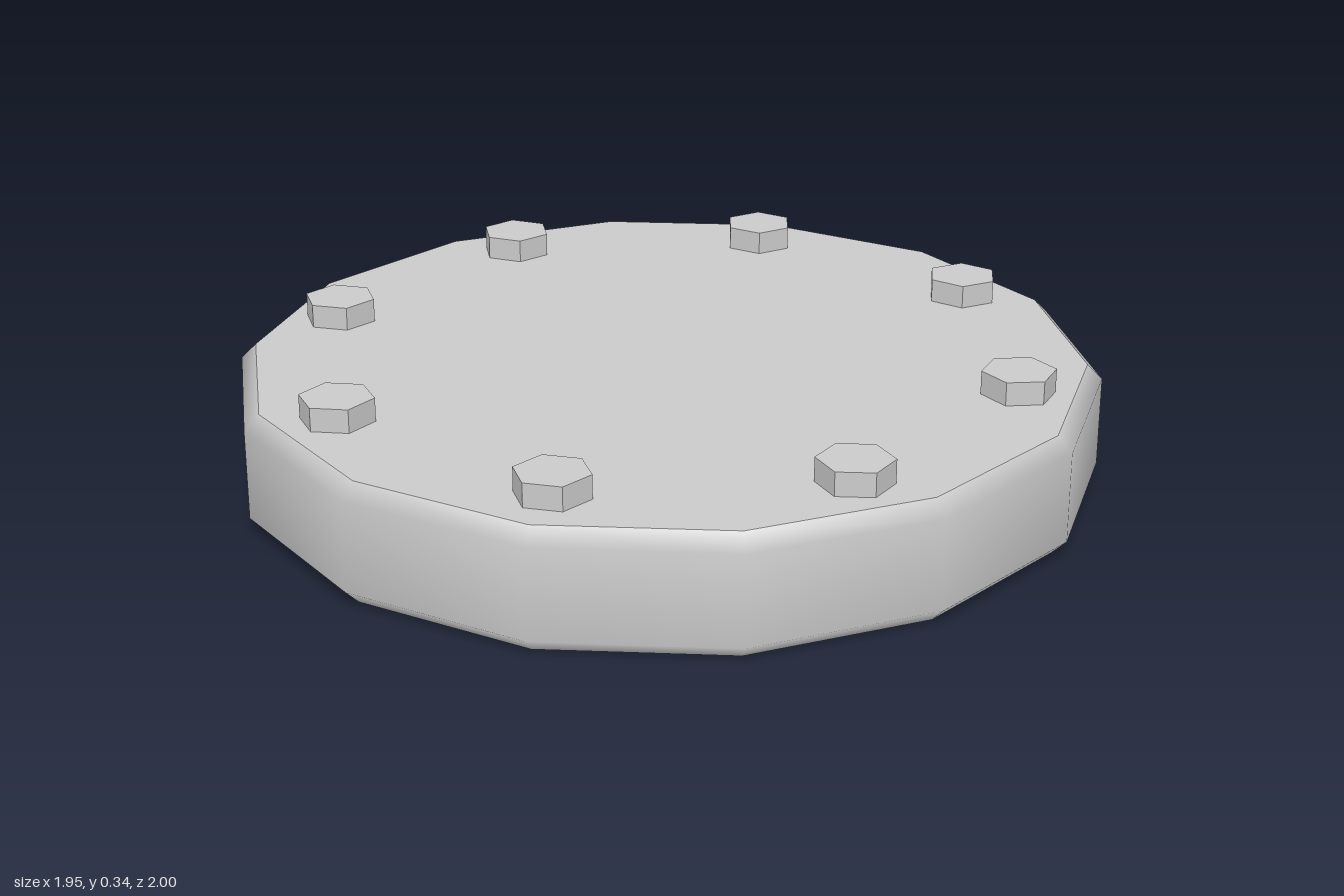
import * as THREE from 'three';

const SIDES = 14, RADIUS = 1, HEIGHT = 0.28, BEVEL = 0.035;

export function createModel() {
  const group = new THREE.Group();
  const material = new THREE.MeshStandardMaterial({ color: 0xcccccc });
  const add = (geometry, name, parent = group) => {
    const mesh = new THREE.Mesh(geometry, material);
    mesh.name = name;
    parent.add(mesh);
    return mesh;
  };

  // Smooth bevelled rim with a corner facing front and back
  const inner = RADIUS - BEVEL;
  const profile = [
    [inner, 0], [RADIUS, BEVEL], [RADIUS, HEIGHT - BEVEL], [inner, HEIGHT],
  ].map(([r, y]) => new THREE.Vector2(r, y));
  add(new THREE.LatheGeometry(profile, SIDES), 'rim');

  // Flat faces closing the disc
  const face = new THREE.CircleGeometry(inner, SIDES, Math.PI / 2);
  const top = add(face, 'topFace');
  top.rotation.x = -Math.PI / 2;
  top.position.y = HEIGHT;
  // Two half turns keep the corners aligned with the rim
  const bottom = add(face, 'bottomFace');
  bottom.rotation.x = Math.PI / 2;

  // Ring of hexagonal bolt heads, each tightened to its own angle
  const bolts = new THREE.Group();
  bolts.name = 'bolts';
  group.add(bolts);
  const head = new THREE.CylinderGeometry(0.085, 0.085, 0.055, 6).toNonIndexed();
  head.computeVertexNormals();
  const turns = [-21, -13, -3, -10, -3, 4, 14, 18];
  turns.forEach((turn, i) => {
    const a = (i / turns.length) * Math.PI * 2;
    const bolt = add(head, 'bolt' + (i + 1), bolts);
    bolt.position.set(Math.cos(a) * 0.817, HEIGHT + 0.0275, Math.sin(a) * 0.817);
    bolt.rotation.y = THREE.MathUtils.degToRad(30 - turn);
  });

  return group;
}
